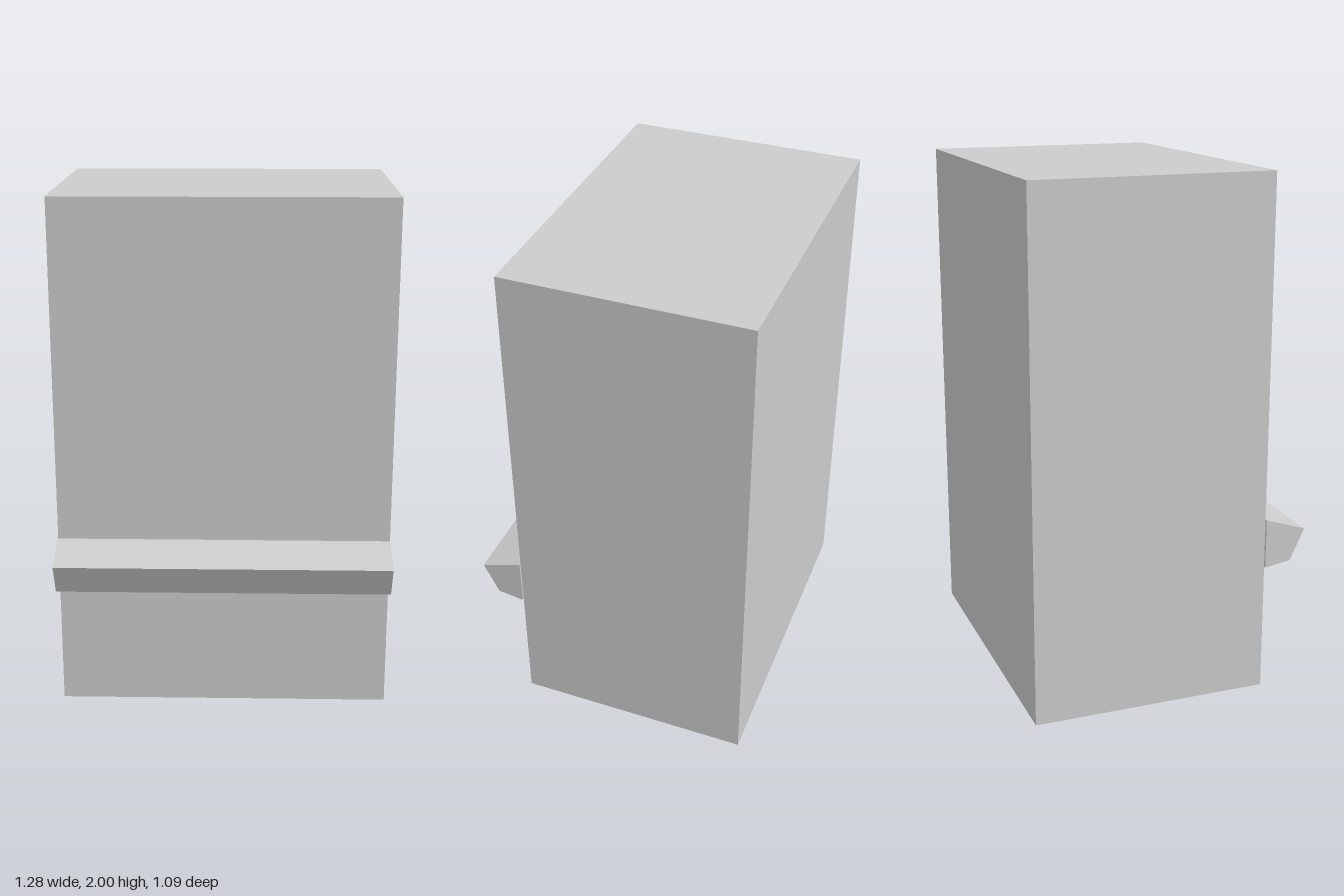
import * as THREE from 'three';

export function createModel() {
  const model = new THREE.Group();
  const material = new THREE.MeshStandardMaterial({ color: 0xcccccc, flatShading: true });
  const width = 1.283;

  const add = (name, geometry) => {
    const mesh = new THREE.Mesh(geometry, material);
    mesh.name = name;
    model.add(mesh);
    return mesh;
  };

  // Tall plain cabinet body, set back to leave room for the ledge
  const back = -0.545, front = 0.378;
  add('body', new THREE.BoxGeometry(width, 2, front - back))
    .position.set(0, 1, (front + back) / 2);

  // Slanted ledge across the front: side profile as (z, y), a hair clear of the body
  const profile = new THREE.Shape([
    [0.383, 0.492], [0.487, 0.508], [0.545, 0.631], [0.383, 0.685],
  ].map(([z, y]) => new THREE.Vector2(z, y)));
  const ledge = new THREE.ExtrudeGeometry(profile, { depth: width, bevelEnabled: false });
  ledge.translate(0, 0, -width / 2).rotateY(-Math.PI / 2);
  add('frontLedge', ledge);

  return model;
}
